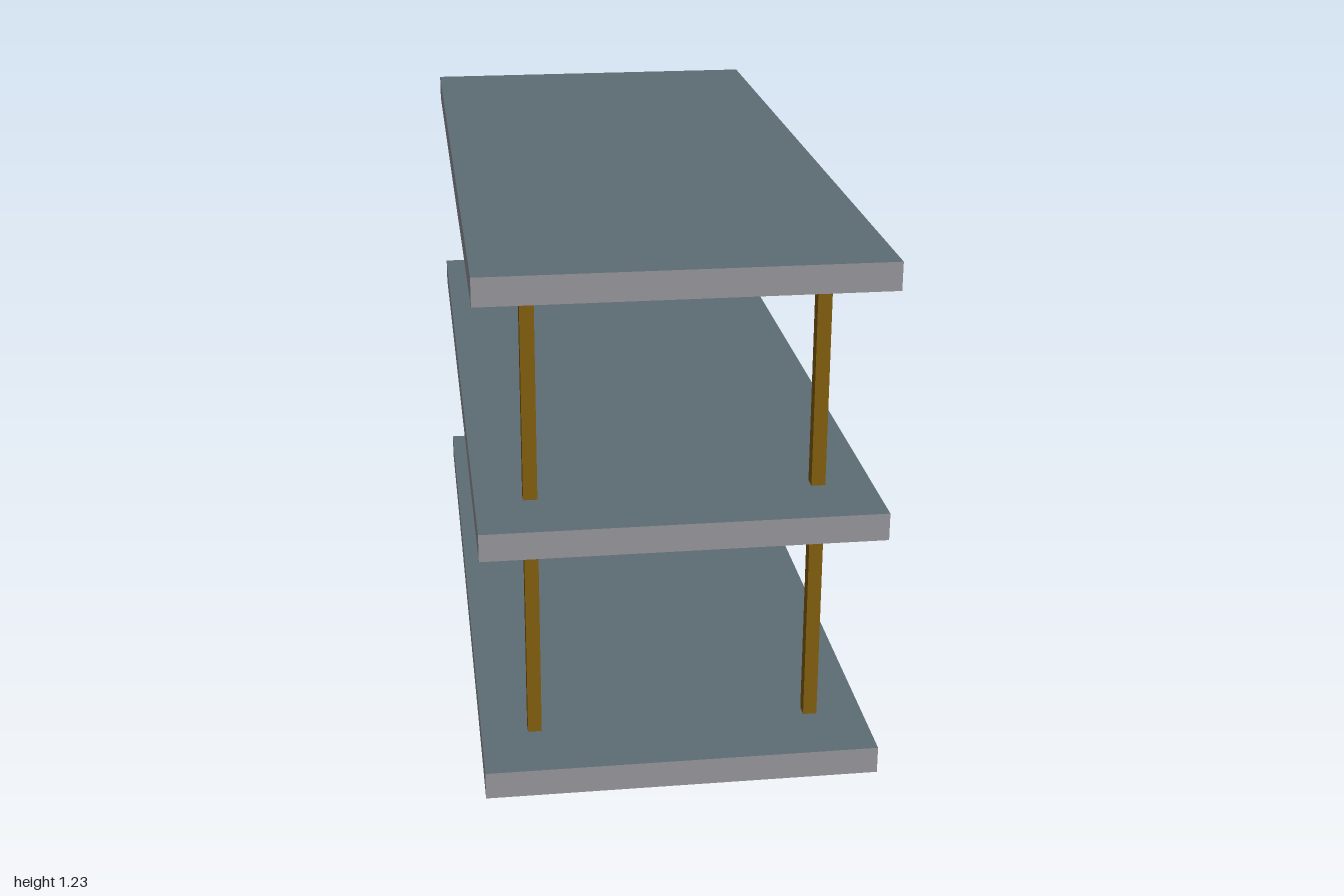
import * as THREE from 'three';

export function createModel() {
  const group = new THREE.Group();
  group.name = 'shelfUnit';

  const material = (name, color) => {
    const m = new THREE.MeshStandardMaterial({ color });
    m.name = name;
    return m;
  };
  const slate = material('slate surface', 0x5c6d74);
  const edge = material('grey edge', 0x929299);
  const wood = material('brown post', 0x7f5c0e);

  const thickness = 0.064;
  const levels = [0, 0.59, 1.165];
  const postSize = 0.032;

  // Shelves: slate top and bottom, grey edges
  const shelfGeometry = new THREE.BoxGeometry(0.9, thickness, 2);
  const shelfMaterials = [edge, edge, slate, slate, edge, edge];
  levels.forEach((y, i) => {
    const shelf = new THREE.Mesh(shelfGeometry, shelfMaterials);
    shelf.name = ['bottomShelf', 'middleShelf', 'topShelf'][i];
    shelf.position.y = y + thickness / 2;
    group.add(shelf);
  });

  // Four square posts between each pair of shelves
  for (let i = 0; i < levels.length - 1; i++) {
    const bottom = levels[i] + thickness;
    const height = levels[i + 1] - bottom;
    const postGeometry = new THREE.BoxGeometry(postSize, height, postSize);
    for (const x of [-1, 1]) {
      for (const z of [-1, 1]) {
        const post = new THREE.Mesh(postGeometry, wood);
        post.name = `${i ? 'upper' : 'lower'}${z > 0 ? 'Front' : 'Back'}${x > 0 ? 'Left' : 'Right'}Post`;
        post.position.set(x * 0.326, bottom + height / 2, z * 0.816);
        group.add(post);
      }
    }
  }

  return group;
}
